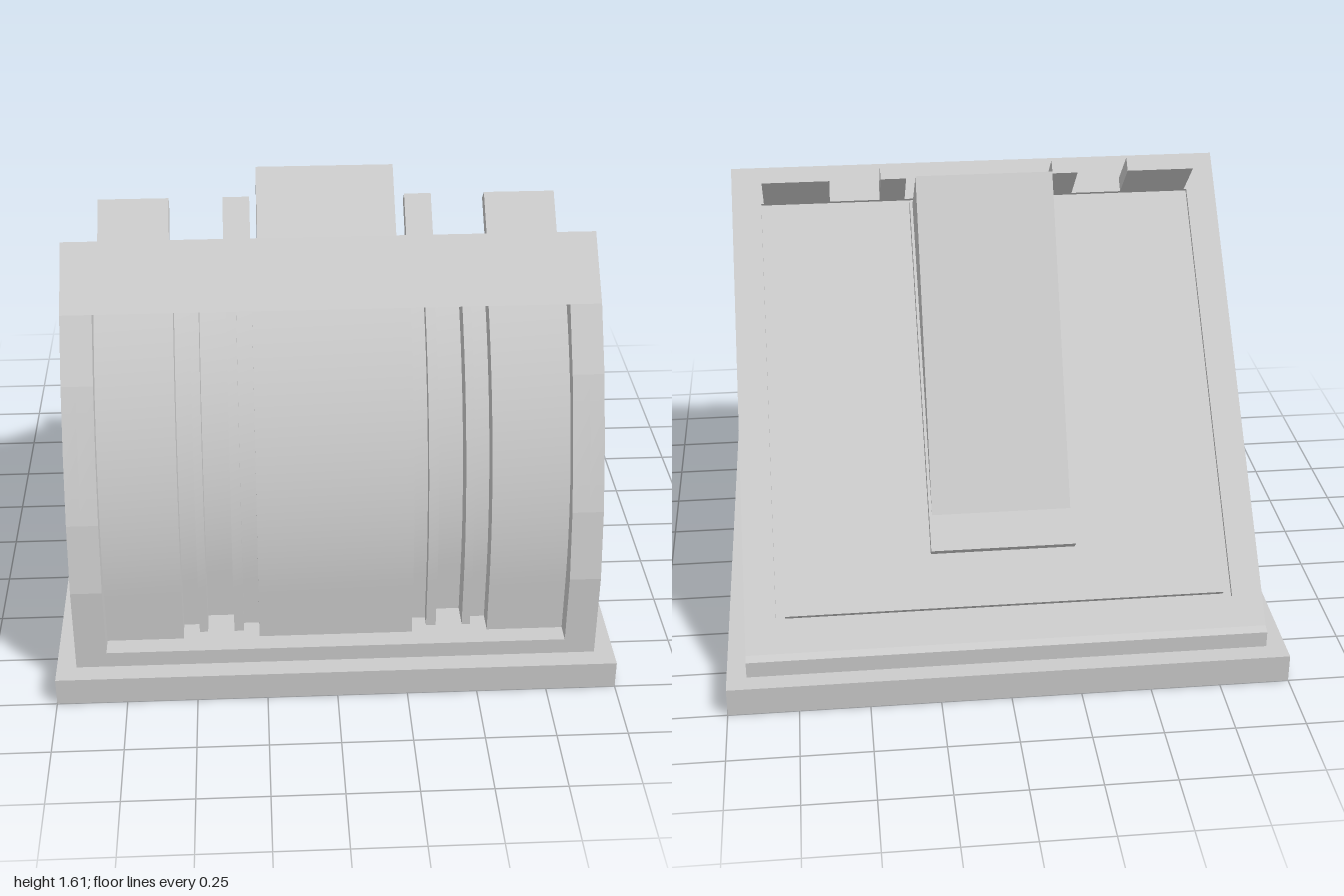
import * as THREE from 'three';
import { toCreasedNormals } from 'three/addons/utils/BufferGeometryUtils.js';

const MAT = new THREE.MeshStandardMaterial({ color: 0xcccccc });
const R = 1.5, CZ = -0.57, CY = 0.36; // circle of the curved front

const toShape = (pts, Type = THREE.Shape) => new Type(pts.map(([z, y]) => new THREE.Vector2(z, y)));

// Extrudes a side profile of [z, y] points between x0 and x1
function slab(parent, name, x0, x1, pts, hole) {
  const shape = toShape(pts);
  if (hole) shape.holes.push(toShape(hole, THREE.Path));
  const geo = new THREE.ExtrudeGeometry(shape, { depth: x1 - x0, bevelEnabled: false });
  geo.rotateY(-Math.PI / 2).translate(x1, 0, 0);
  const mesh = new THREE.Mesh(toCreasedNormals(geo, 0.1), MAT);
  mesh.name = name;
  parent.add(mesh);
}

// Point on the sloping back: s runs down from the ridge, h stands out from it
const onSlope = (s, h) => [0.38 - 0.689 * s - 0.724 * h, 1.52 - 0.724 * s + 0.689 * h];
const slopeBox = (s0, s1, h0, h1) => [onSlope(s0, h0), onSlope(s1, h0), onSlope(s1, h1), onSlope(s0, h1)];

// Curved line at depth d behind the front, from yBottom to yTop
function arc(d, yBottom, yTop, n) {
  const r = R - d, end = Math.asin((yTop - CY) / r);
  const pts = [[CZ + r, yBottom]];
  for (let i = 0; i <= n; i++) {
    const a = (end * i) / n;
    pts.push([CZ + r * Math.cos(a), CY + r * Math.sin(a)]);
  }
  return pts;
}

const FRONT = [[0.93, 0.1], [0.93, 0.43], [0.88, 0.68], [0.80, 0.91], [0.70, 1.13], [0.57, 1.335]];
const BACK = [[-0.90, 0.175], [-0.93, 0.165], [-0.93, 0.1]];
const FULL = [...FRONT, [0.38, 1.52], ...BACK];

// Body profile with the front sunk by d and a shallow tray in the slope
const sunk = (d) => [
  [0.93, 0.1], [0.93, 0.165],
  ...arc(d, 0.165, 1.335 - 0.37 * d, 24),
  [0.57, 1.335], [0.38, 1.52],
  onSlope(0.149, 0), onSlope(0.149, -0.015), onSlope(1.745, -0.015), onSlope(1.745, 0),
  ...BACK,
];

export function createModel() {
  const model = new THREE.Group();

  // Base plate
  const base = new THREE.Mesh(new THREE.BoxGeometry(2, 0.105, 2), MAT);
  base.name = 'basePlate';
  base.position.y = 0.0525;
  model.add(base);

  const body = new THREE.Group();
  body.name = 'body';
  model.add(body);

  // Curved front: panels, grooves and ridges as strips across the width
  slab(body, 'centrePanel', -0.275, 0.275, sunk(0.07));
  const strips = [
    ['innerGroove', 0.275, 0.33, 0.15],
    ['innerRidge', 0.33, 0.365, 0.105],
    ['deepGroove', 0.365, 0.46, 0.2],
    ['outerRidge', 0.46, 0.49, 0.105],
    ['outerGroove', 0.49, 0.547, 0.15],
    ['outerPanel', 0.547, 0.82, 0.07],
  ];
  // Opening of the recessed panel on each flank
  const opening = [...arc(0.08, 0.17, 1.28, 6), [-0.65, 0.38], [-0.62, 0.32], [-0.603, 0.25], [-0.6, 0.17]];
  for (const side of [1, -1]) {
    const mirrored = (name, a, b, pts, hole) =>
      slab(body, name, Math.min(a * side, b * side), Math.max(a * side, b * side), pts, hole);
    for (const [name, a, b, d] of strips) mirrored(name, a, b, sunk(d));
    mirrored('sideWall', 0.82, 0.88, FULL);
    mirrored('sideFrame', 0.88, 0.93, FULL, opening);

    // Tabs along the top of the slope
    mirrored('wideTab', 0.56, 0.81, slopeBox(0.095, 0.149, -0.02, 0.194));
    mirrored('narrowTab', 0.275, 0.37, slopeBox(0.095, 0.149, -0.02, 0.194));
  }

  // Sloping back plate with the wedge on its mount
  slab(model, 'backPlate', -0.787, 0.787, slopeBox(0.19, 1.732, -0.03, 0.022));
  slab(model, 'wedgeMount', -0.26, 0.26, slopeBox(0.19, 1.536, 0.01, 0.07));
  slab(model, 'wedge', -0.25, 0.25, [
    onSlope(0.2, 0.05), onSlope(1.405, 0.05), onSlope(1.405, 0.07), onSlope(0.213, 0.358),
  ]);

  return model;
}
